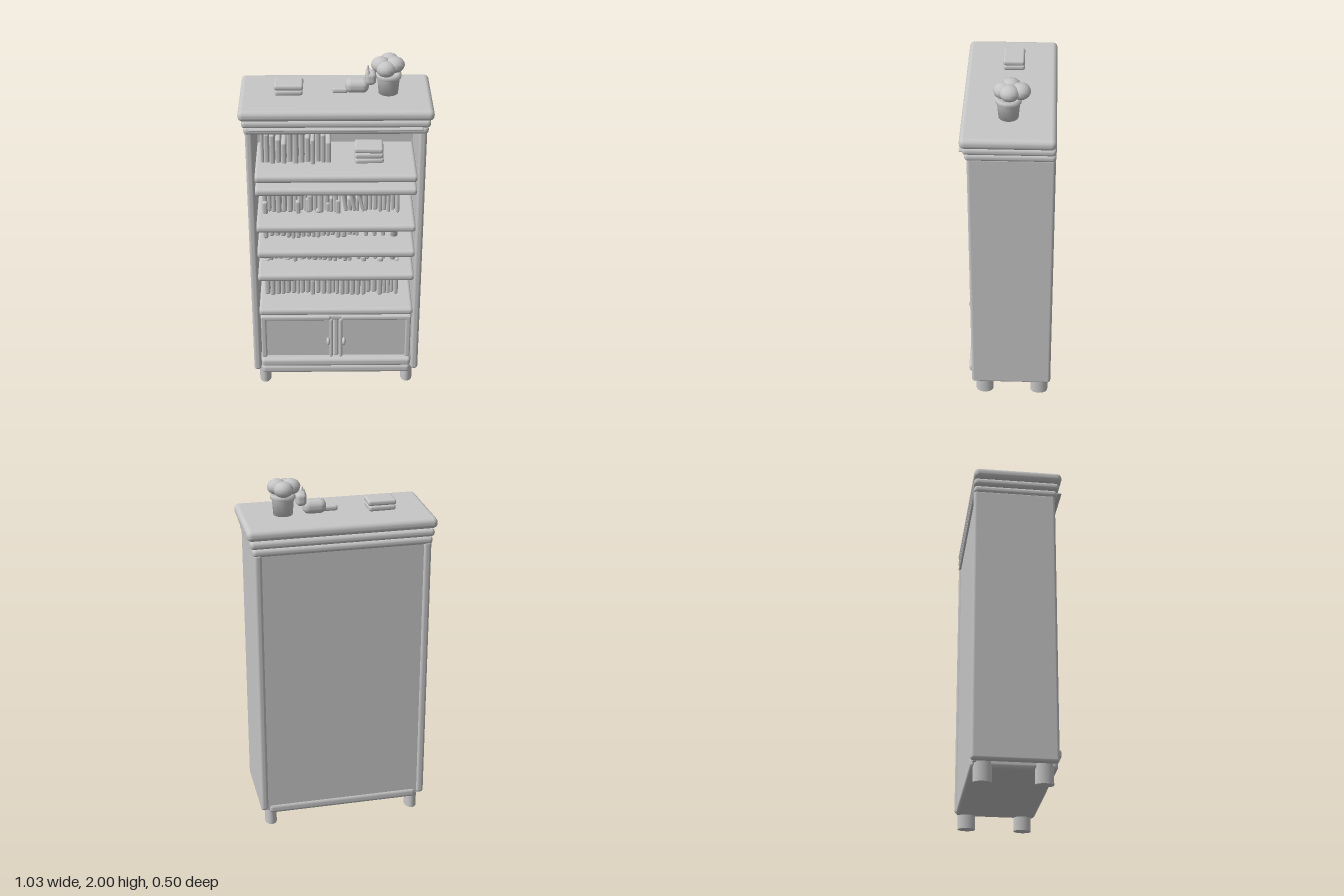
import * as THREE from 'three';
import { RoundedBoxGeometry } from 'three/addons/geometries/RoundedBoxGeometry.js';

export function createModel() {
  const model = new THREE.Group();
  const grey = new THREE.MeshStandardMaterial({ color: 0xc6c6c6 });
  grey.name = 'plain grey';

  let seed = 7;
  const rnd = (a = 0, b = 1) => {
    seed = (seed * 16807) % 2147483647;
    return a + (b - a) * seed / 2147483647;
  };
  const add = (name, geo, x = 0, y = 0, z = 0, parent = model) => {
    const m = new THREE.Mesh(geo, grey);
    m.name = name;
    m.position.set(x, y, z);
    parent.add(m);
    return m;
  };
  // Rounded box given by its limits on each axis
  const slab = (name, x0, x1, y0, y1, z0, z1, r = 0.018, parent = model) =>
    add(name, new RoundedBoxGeometry(x1 - x0, y1 - y0, z1 - z0, 3, r),
      (x0 + x1) / 2, (y0 + y1) / 2, (z0 + z1) / 2, parent);

  // Stepped crown
  slab('crownTop', -0.513, 0.513, 1.74, 1.8, -0.245, 0.245, 0.027);
  slab('crownMiddle', -0.497, 0.497, 1.697, 1.742, -0.245, 0.232, 0.02);
  slab('crownLower', -0.487, 0.487, 1.655, 1.7, -0.245, 0.222, 0.02);
  slab('crownBead', -0.455, 0.455, 1.69, 1.703, 0.2, 0.25, 0.006);

  // Carcass
  for (const s of [-1, 1]) {
    const x = s * 0.459;
    slab('sidePanel', x - 0.021, x + 0.021, 0.105, 1.67, -0.243, 0.21, 0.016);
  }
  slab('backPanel', -0.445, 0.445, 0.1, 1.68, -0.232, -0.21, 0.006);
  slab('bottomBoard', -0.435, 0.435, 0.078, 0.135, -0.24, 0.21, 0.022);
  slab('baseRail', -0.435, 0.435, 0.14, 0.195, 0.17, 0.228, 0.02);

  // Feet, deeper than they are wide
  for (const x of [-0.418, 0.418]) for (const z of [0.138, -0.178]) {
    add('foot', new THREE.CylinderGeometry(0.034, 0.034, 0.11, 20), x, 0.055, z).scale.z = 1.45;
  }

  // Shelves
  for (const y of [1.378, 1.297, 1.065, 0.9, 0.745, 0.51]) {
    slab('shelf', -0.442, 0.442, y - 0.023, y + 0.023, -0.215, 0.205, 0.02);
  }

  // Cupboard
  slab('cupboardFloor', -0.44, 0.44, 0.15, 0.185, -0.215, 0.19, 0.01);
  slab('cupboardRail', -0.435, 0.435, 0.447, 0.485, 0.15, 0.195, 0.015);
  slab('centreStile', -0.014, 0.014, 0.19, 0.49, 0.15, 0.19, 0.01);
  for (const s of [-1, 1]) {
    const door = new THREE.Group();
    door.name = s > 0 ? 'leftDoor' : 'rightDoor';
    model.add(door);
    const part = (n, a, b, y0, y1, z0, z1, r) =>
      slab(n, Math.min(s * a, s * b), Math.max(s * a, s * b), y0, y1, z0, z1, r, door);
    part('doorPanel', 0.03, 0.41, 0.19, 0.455, 0.16, 0.185, 0.004);
    part('doorInnerStile', 0.018, 0.038, 0.19, 0.46, 0.16, 0.203, 0.009);
    part('doorOuterStile', 0.402, 0.432, 0.19, 0.48, 0.16, 0.203, 0.009);
    part('doorTopRail', 0.03, 0.425, 0.45, 0.482, 0.16, 0.203, 0.012);
    add('knob', new THREE.SphereGeometry(0.023, 16, 12), s * 0.045, 0.325, 0.227, door).scale.x = 0.5;
  }

  // Rows of upright books, with a few leaning ones at the end of some rows
  const rows = [
    { y: 1.32, x0: -0.41, x1: -0.02, low: 0.2, high: 0.3, lean: 0 },
    { y: 1.09, x0: -0.41, x1: 0.02, low: 0.09, high: 0.18, lean: 3 },
    { y: 1.09, x0: 0.15, x1: 0.355, low: 0.14, high: 0.18, lean: 0 },
    { y: 0.925, x0: -0.41, x1: 0.13, low: 0.1, high: 0.26, lean: 3 },
    { y: 0.77, x0: -0.41, x1: 0.1, low: 0.09, high: 0.15, lean: 4 },
    { y: 0.535, x0: -0.41, x1: 0.37, low: 0.1, high: 0.28, lean: 0 },
  ];
  for (const { y, x0, x1, low, high, lean } of rows) {
    const row = new THREE.Group();
    row.name = 'bookRow';
    model.add(row);
    let x = x0;
    while (x < x1 - 0.012) {
      const w = Math.min(rnd(0.018, 0.032), x1 - x), h = rnd(low, high);
      slab('book', x, x + w, y, y + h, -0.12, rnd(0.035, 0.07), w * 0.38, row);
      x += w + rnd(0, 0.004);
    }
    for (let i = 0; i < lean; i++) {
      const h = Math.min(high, 0.17) - 0.01 * i;
      const b = slab('leaningBook', 0, 0.022, y, y + h, -0.11, 0.05, 0.008, row);
      b.position.x = x + 0.03 + i * 0.045;
      b.rotation.z = 0.15 + 0.06 * i;
    }
  }

  // Flat stacks of books, each turned slightly
  const stack = (x, y, z, w, d, t, n) => {
    for (let i = 0; i < n; i++) {
      const b = add('stackedBook', new RoundedBoxGeometry(w * rnd(0.92, 1), t, d, 3, t * 0.4),
        x, y + t * (i + 0.5), z);
      b.rotation.y = rnd(-0.06, 0.06);
    }
  };
  stack(0.182, 1.33, 0, 0.16, 0.12, 0.032, 5);
  stack(-0.25, 1.8, -0.01, 0.16, 0.115, 0.03, 2);

  // Small vases on the shelves
  const vaseProfile = [[0, 0], [0.02, 0], [0.02, 0.055], [0.03, 0.06], [0.03, 0.085], [0, 0.085]]
    .map(p => new THREE.Vector2(...p));
  for (const y of [0.922, 0.767]) add('vase', new THREE.LatheGeometry(vaseProfile, 16), 0.33, y, 0.03);

  // Cat ornament lying along the top
  const cat = new THREE.Group();
  cat.name = 'catOrnament';
  model.add(cat);
  slab('catBody', 0.05, 0.178, 1.8, 1.876, -0.052, 0.034, 0.034, cat);
  slab('catTail', -0.018, 0.065, 1.8, 1.83, -0.01, 0.022, 0.012, cat);
  slab('catHead', 0.158, 0.215, 1.85, 1.92, -0.05, 0.034, 0.022, cat);
  for (const z of [-0.034, 0.018]) {
    add('catEar', new THREE.ConeGeometry(0.014, 0.04, 8), 0.172, 1.925, z, cat);
  }

  // Potted plant
  const potProfile = [[0, 0], [0.052, 0], [0.06, 0.09], [0.067, 0.09], [0.067, 0.112], [0.05, 0.112], [0, 0.1]]
    .map(p => new THREE.Vector2(...p));
  add('plantPot', new THREE.LatheGeometry(potProfile, 24), 0.281, 1.8, 0.003);
  for (const [x, y, z] of [[0.287, 1.955, -0.058], [0.24, 1.955, -0.008], [0.313, 1.957, -0.003], [0.265, 1.945, 0.03]]) {
    add('leafClump', new THREE.SphereGeometry(0.053, 12, 8), x, y, z).scale.y = 0.8;
  }
  return model;
}
